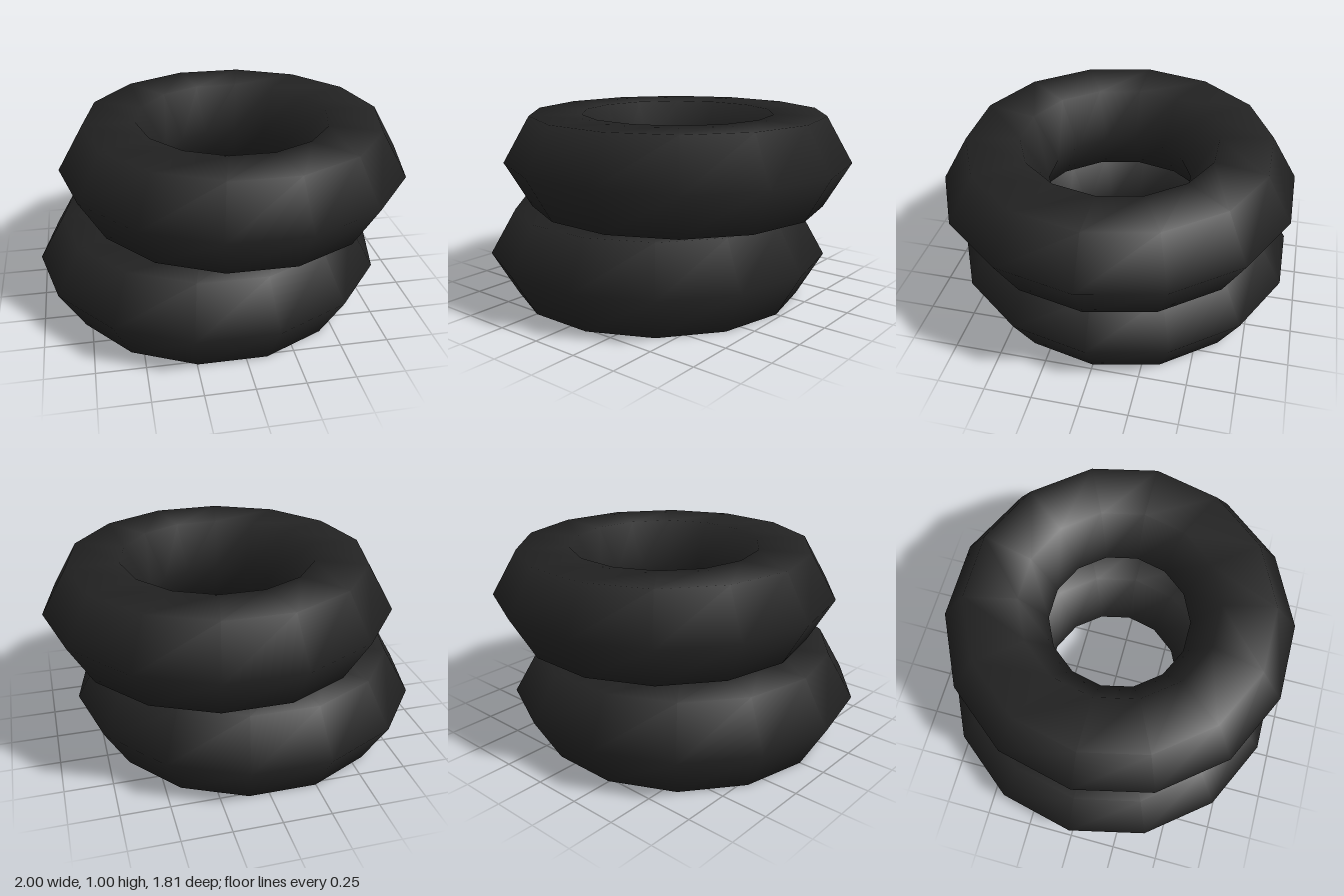
import * as THREE from 'three';

export function createModel() {
  const model = new THREE.Group();
  model.name = 'tyreStack';

  const rubber = new THREE.MeshStandardMaterial({ color: 0x232323 });
  rubber.name = 'black rubber';

  // Hexagonal tube section swept round a 14-sided ring, laid flat
  const tyre = new THREE.TorusGeometry(0.653, 0.277, 6, 14);
  tyre.rotateX(-Math.PI / 2);

  // Two tyres, stacked with a small gap and a sideways offset
  const addTyre = (name, x, y) => {
    const mesh = new THREE.Mesh(tyre, rubber);
    mesh.name = name;
    mesh.position.set(x, y, 0);
    model.add(mesh);
  };
  addTyre('lowerTyre', -0.07, 0.24);
  addTyre('upperTyre', 0.07, 0.76);

  return model;
}
